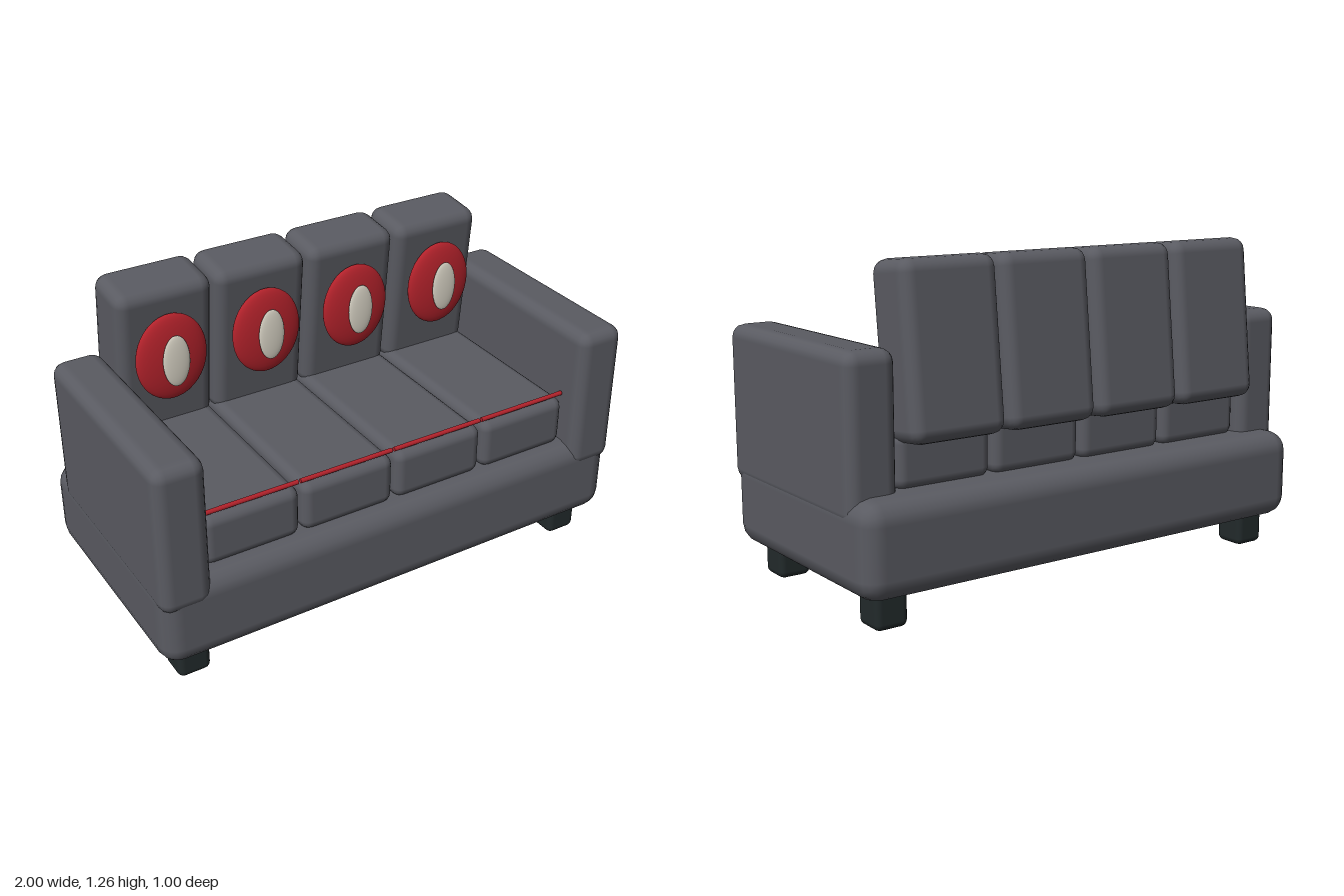
import * as THREE from 'three';
import { RoundedBoxGeometry } from 'three/addons/geometries/RoundedBoxGeometry.js';

const paint = (color) => new THREE.MeshStandardMaterial({ color });

export function createModel() {
  const sofa = new THREE.Group();
  sofa.name = 'sofa';
  const fabric = paint(0x5a5b62);
  const legPaint = paint(0x222a2b);
  const red = paint(0xb3222b);
  const cream = paint(0xd8d3c5);

  const add = (name, geometry, material, x, y, z) => {
    const mesh = new THREE.Mesh(geometry, material);
    mesh.name = name;
    mesh.position.set(x, y, z);
    sofa.add(mesh);
    return mesh;
  };
  const block = (w, h, d, r) => new RoundedBoxGeometry(w, h, d, 2, r);

  // Plinth under everything
  add('base', block(2, 0.35, 1, 0.08), fabric, 0, 0.295, 0);

  // Armrests and legs, mirrored
  const armGeometry = block(0.2, 0.6, 0.9, 0.05);
  const legGeometry = block(0.13, 0.16, 0.13, 0.025);
  for (const side of [-1, 1]) {
    add('armrest', armGeometry, fabric, side * 0.9, 0.665, 0.055);
    for (const end of [-1, 1]) {
      add('leg', legGeometry, legPaint, side * 0.855, 0.08, end * 0.357);
    }
  }

  // Four seats, each with piping, a leaning back cushion and an oval badge
  const seatGeometry = block(0.39, 0.205, 0.8, 0.04);
  const backGeometry = block(0.39, 0.63, 0.23, 0.05);
  const pipingGeometry = new THREE.CylinderGeometry(0.009, 0.009, 0.39, 12).rotateZ(Math.PI / 2);
  const outerOval = new THREE.SphereGeometry(1, 32, 20).scale(0.145, 0.176, 0.035);
  const innerOval = new THREE.SphereGeometry(1, 24, 16).scale(0.055, 0.105, 0.012);
  for (const x of [-0.6, -0.2, 0.2, 0.6]) {
    add('seatCushion', seatGeometry, fabric, x, 0.5625, 0.03);
    add('seatPiping', pipingGeometry, red, x, 0.68, 0.405);
    add('backCushion', backGeometry, fabric, x, 0.941, -0.3365).rotation.x = 0.105;
    add('outerOval', outerOval, red, x, 0.97, -0.183);
    add('innerOval', innerOval, cream, x, 0.971, -0.138);
  }
  return sofa;
}
